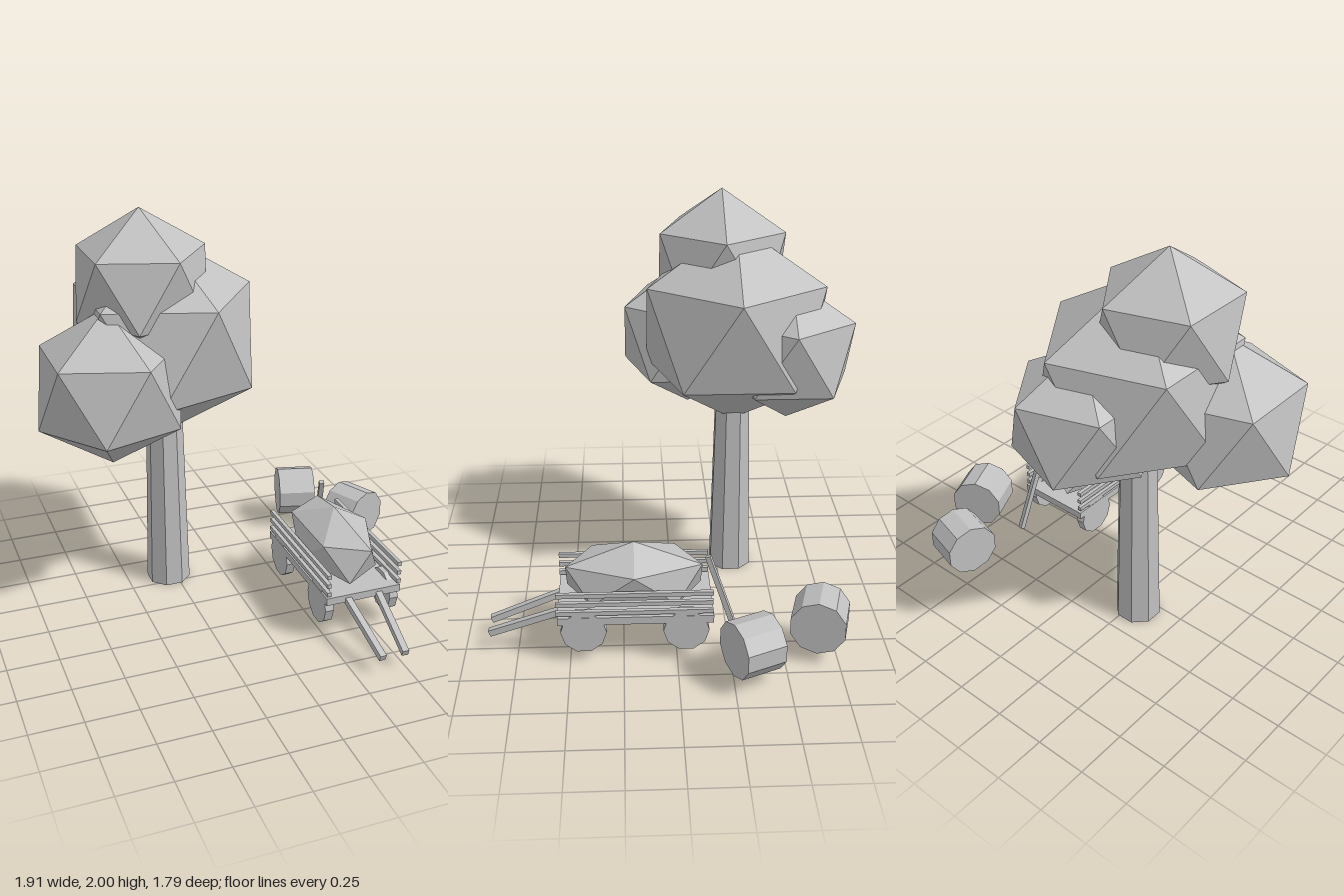
import * as THREE from 'three';

export function createModel() {
  const group = new THREE.Group();
  group.name = 'treeWithCart';
  const grey = new THREE.MeshStandardMaterial({ color: 0xc0c0c0, flatShading: true, side: THREE.DoubleSide });
  grey.name = 'grey';

  const add = (name, geometry, x, y, z, parent = group) => {
    const mesh = new THREE.Mesh(geometry, grey);
    mesh.name = name;
    mesh.position.set(x, y, z);
    parent.add(mesh);
    return mesh;
  };

  // icosahedron standing on a point, one upper corner towards +x
  const blob = (rx, ry = rx, rz = rx) =>
    new THREE.IcosahedronGeometry(1, 0)
      .rotateZ(-Math.atan(2 / (1 + Math.sqrt(5))))
      .scale(rx, ry, rz);

  // square beam between two points
  const beam = (name, from, to, size, parent) => {
    const a = new THREE.Vector3(...from), b = new THREE.Vector3(...to);
    const mid = a.clone().add(b).multiplyScalar(0.5);
    const mesh = add(name, new THREE.BoxGeometry(size, size, a.distanceTo(b)), mid.x, mid.y, mid.z, parent);
    mesh.lookAt(b);
    return mesh;
  };

  // tree: open trunk and four clumps of leaves
  const trunk = new THREE.CylinderGeometry(0.09, 0.112, 1, 8, 1, true).rotateY(Math.PI / 8);
  add('trunk', trunk, -0.285, 0.5, -0.32);
  [
    ['mainFoliage', 0.51, -0.285, 1.345, -0.32],
    ['topFoliage', 0.36, -0.4, 1.64, -0.26],
    ['sideFoliage', 0.39, -0.61, 1.195, -0.11],
    ['backFoliage', 0.363, -0.2, 1.24, -0.585],
  ].forEach(([name, r, x, y, z]) => add(name, blob(r), x, y, z));

  // cart: deck, rails, wheels, shafts
  const cart = new THREE.Group();
  cart.name = 'cart';
  group.add(cart);
  const cx = 0.43;
  add('deck', new THREE.BoxGeometry(0.39, 0.038, 0.725), cx, 0.22, 0.193, cart);
  for (const side of [-1, 1]) {
    for (const y of [0.262, 0.308, 0.355])
      add('rail', new THREE.BoxGeometry(0.02, 0.021, 0.725), cx + side * 0.185, y, 0.197, cart);
    for (const z of [-0.042, 0.435])
      add('wheel', new THREE.CylinderGeometry(0.107, 0.107, 0.043, 10).rotateZ(Math.PI / 2),
        cx + side * 0.172, 0.16, z, cart);
    beam('shaft', [cx + side * 0.082, 0.212, 0.54], [cx + side * 0.058, 0.085, 0.885], 0.032, cart);
  }

  // load on the deck
  add('load', blob(0.2, 0.175, 0.376), 0.428, 0.35, 0.197, cart);

  // pole leaning on the back of the cart
  beam('pole', [0.517, 0.49, -0.146], [0.555, 0.055, -0.295], 0.025);

  // barrels lying on their sides
  const barrel = (x, z, turn) => {
    const shape = new THREE.CylinderGeometry(0.134, 0.134, 0.198, 10)
      .rotateY(Math.PI / 10).rotateZ(Math.PI / 2);
    add('barrel', shape, x, 0.19, z).rotation.y = turn;
  };
  barrel(0.797, -0.333, -1.142);
  barrel(0.59, -0.67, -0.265);

  return group;
}
